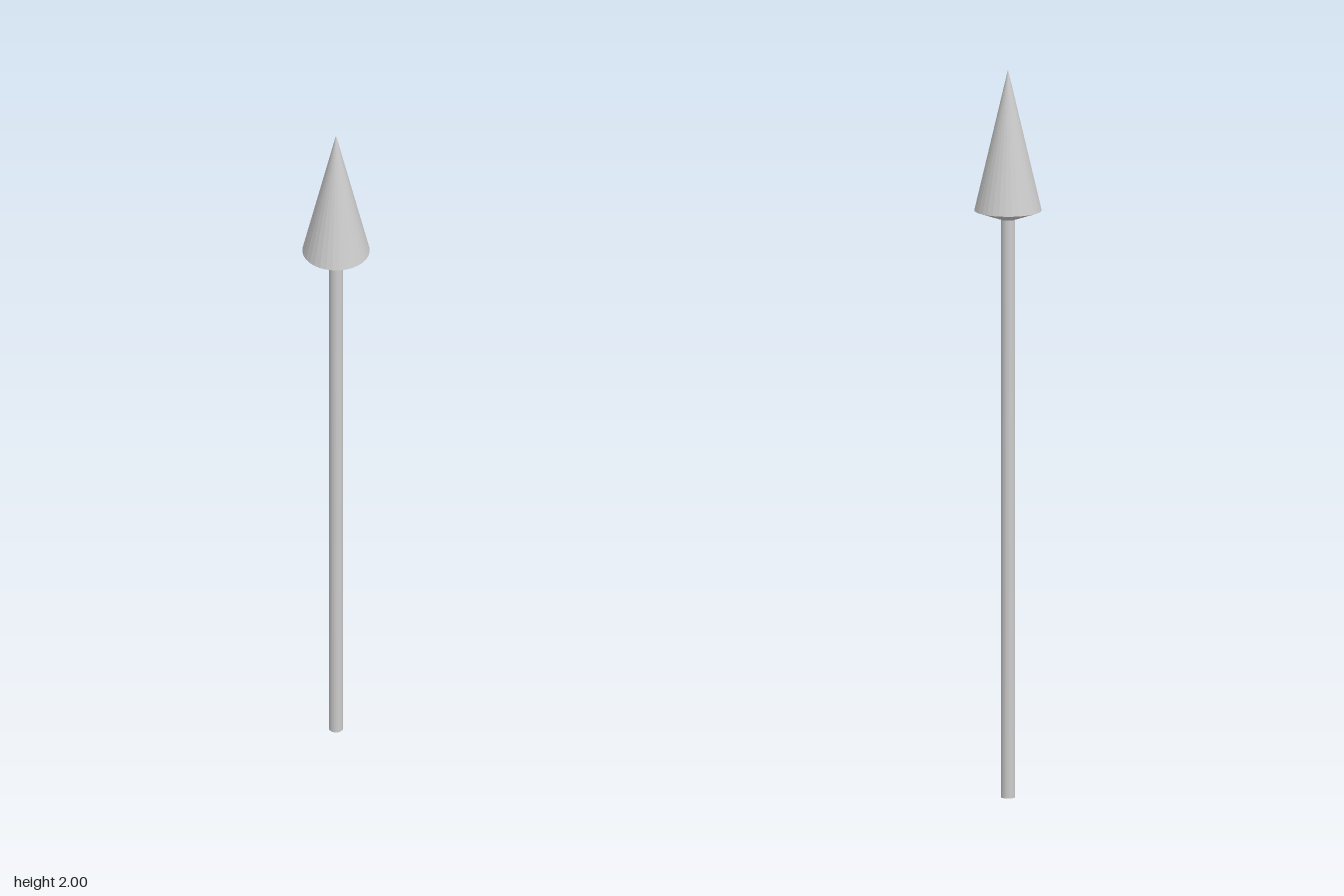
import * as THREE from 'three';

const SIDES = 32;
const SHAFT_RADIUS = 0.019;
const RIM_RADIUS = 0.091;
const RIM_Y = 1.613;
const COLLAR_Y = 1.588;
const TIP_Y = 2;

export function createModel() {
  const model = new THREE.Group();
  model.name = 'arrow';
  const material = new THREE.MeshStandardMaterial({ color: 0xcccccc, flatShading: true });

  // Adds a round section between two heights
  function addSection(name, topRadius, bottomRadius, bottomY, topY, open) {
    const geometry = new THREE.CylinderGeometry(topRadius, bottomRadius, topY - bottomY, SIDES, 1, open);
    const mesh = new THREE.Mesh(geometry, material);
    mesh.name = name;
    mesh.position.y = (bottomY + topY) / 2;
    model.add(mesh);
  }

  // Straight shaft, closed at the foot
  addSection('shaft', SHAFT_RADIUS, SHAFT_RADIUS, 0, COLLAR_Y, false);

  // Shallow underside flaring from the shaft out to the rim
  addSection('headUnderside', RIM_RADIUS, SHAFT_RADIUS, COLLAR_Y, RIM_Y, true);

  // Long pointed head
  addSection('headCone', 0, RIM_RADIUS, RIM_Y, TIP_Y, true);

  return model;
}
